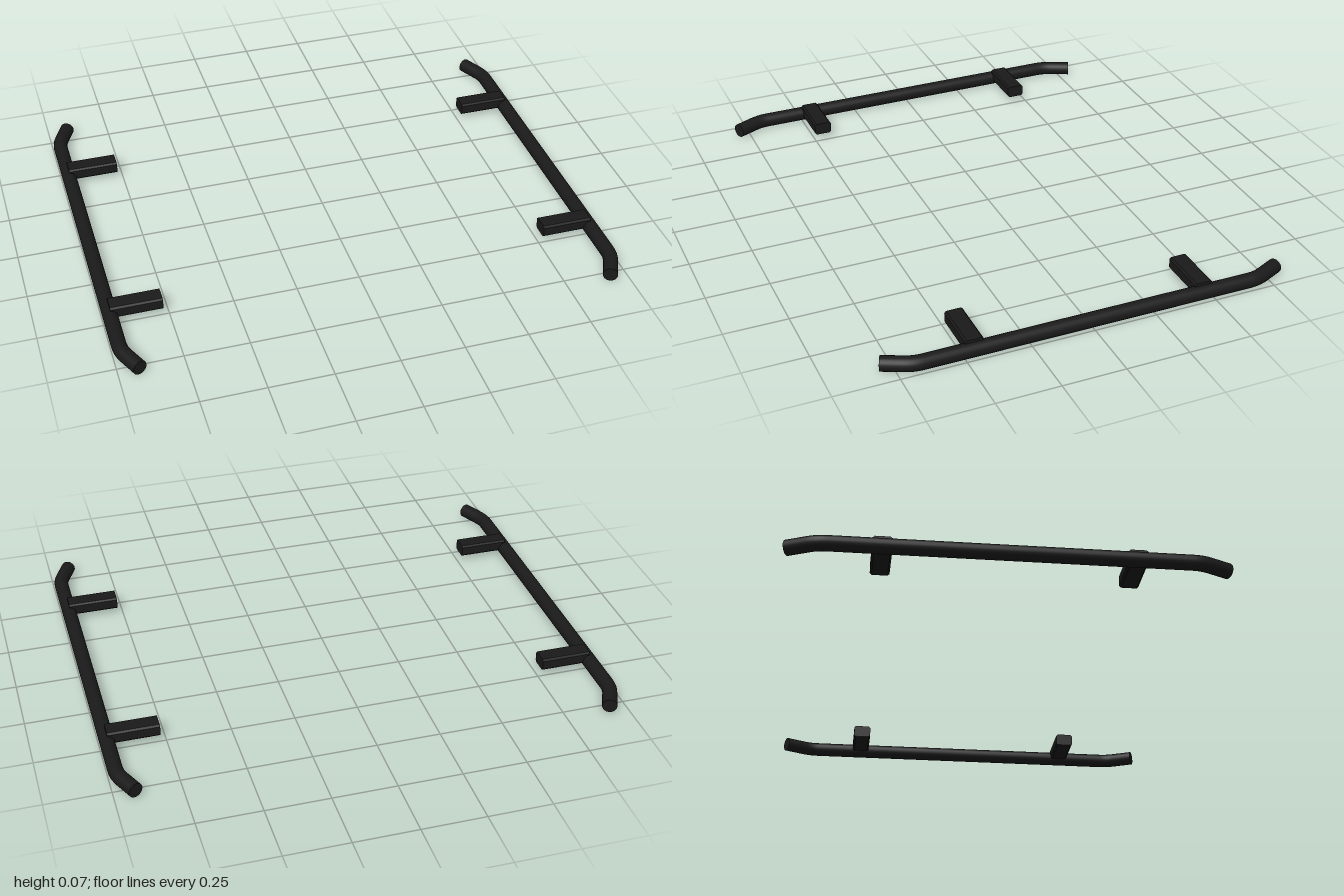
import * as THREE from 'three';

const R = 0.029; // rail tube radius
const RAIL_X = 0.971;
const END = new THREE.Vector3(0.921, R, 0.798);

// Straight rail with both ends bent inward
function railPath(side) {
  const p = (x, z) => new THREE.Vector3(side * x, R, z);
  const bend = 0.69, inner = [0.957, 0.72];
  const path = new THREE.CurvePath();
  path.add(new THREE.LineCurve3(p(END.x, -END.z), p(inner[0], -inner[1])));
  path.add(new THREE.QuadraticBezierCurve3(p(inner[0], -inner[1]), p(RAIL_X, -bend), p(RAIL_X, -0.655)));
  path.add(new THREE.LineCurve3(p(RAIL_X, -0.655), p(RAIL_X, 0.655)));
  path.add(new THREE.QuadraticBezierCurve3(p(RAIL_X, 0.655), p(RAIL_X, bend), p(...inner)));
  path.add(new THREE.LineCurve3(p(...inner), p(END.x, END.z)));
  return path;
}

// Bracket arm: a bar with chamfered long edges, running along x
function bracketGeometry(length, height, width, c) {
  const w = width / 2, h = height / 2;
  const s = new THREE.Shape([
    [-w + c, -h], [w - c, -h], [w, -h + c], [w, h - c],
    [w - c, h], [-w + c, h], [-w, h - c], [-w, -h + c],
  ].map(([x, y]) => new THREE.Vector2(x, y)));
  return new THREE.ExtrudeGeometry(s, { depth: length, bevelEnabled: false })
    .translate(0, 0, -length / 2)
    .rotateY(Math.PI / 2);
}

export function createModel() {
  const model = new THREE.Group();
  model.name = 'sideRails';
  const black = new THREE.MeshStandardMaterial({ color: 0x1a1a1a });
  const armGeo = bracketGeometry(0.2, 0.05, 0.072, 0.007);

  for (const side of [1, -1]) {
    const group = new THREE.Group();
    group.name = side > 0 ? 'leftRail' : 'rightRail';

    const path = railPath(side);
    const tube = new THREE.Mesh(new THREE.TubeGeometry(path, 96, R, 20, false), black);
    tube.name = 'railTube';
    group.add(tube);

    // Flat caps facing out of each tube end
    for (const t of [0, 1]) {
      const cap = new THREE.Mesh(new THREE.CircleGeometry(R, 20), black);
      cap.name = t ? 'frontCap' : 'rearCap';
      const out = path.getTangentAt(t).multiplyScalar(t ? 1 : -1);
      cap.position.copy(path.getPointAt(t));
      cap.quaternion.setFromUnitVectors(new THREE.Vector3(0, 0, 1), out);
      group.add(cap);
    }

    // Two mounting arms reaching inward
    for (const z of [-0.46, 0.46]) {
      const arm = new THREE.Mesh(armGeo, black);
      arm.name = z > 0 ? 'frontBracket' : 'rearBracket';
      arm.position.set(side * 0.87, 0.045, z);
      group.add(arm);
    }
    model.add(group);
  }
  return model;
}
